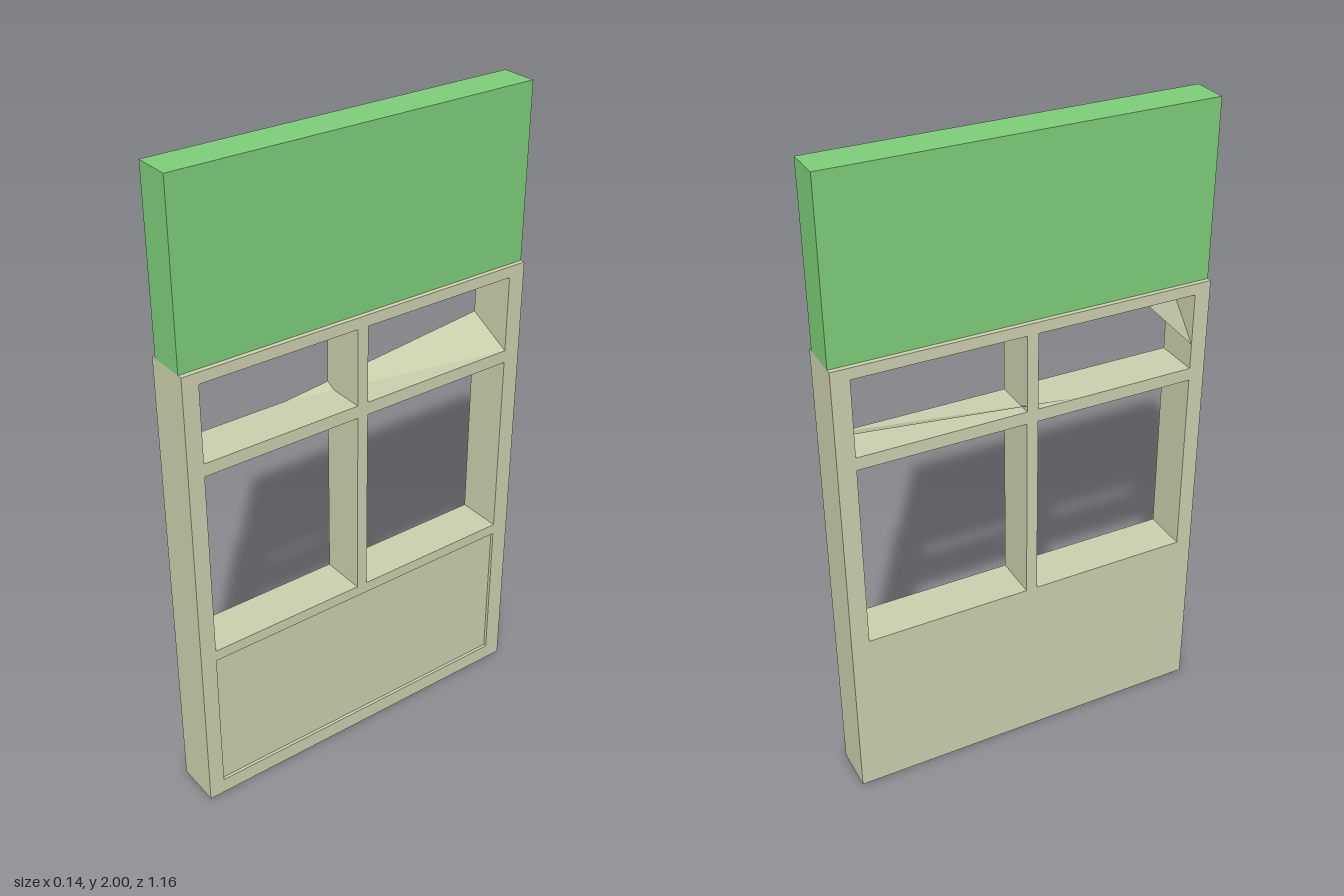
import * as THREE from 'three';

const HALF_X = 0.072, HALF_Z = 0.58, FRAME_TOP = 1.465, RECESS = 0.01;

// Rectangle given as [zFront, zBack, yLow, yHigh]; u runs towards -z
function trace(path, [z0, z1, y0, y1]) {
  path.moveTo(-z0, y0);
  path.lineTo(-z1, y0);
  path.lineTo(-z1, y1);
  path.lineTo(-z0, y1);
  path.closePath();
  return path;
}

// Slab with rectangular openings, reaching from x0 to x1
function slab(holes, x0, x1) {
  const shape = trace(new THREE.Shape(), [HALF_Z, -HALF_Z, 0, FRAME_TOP]);
  shape.holes = holes.map((h) => trace(new THREE.Path(), h));
  const geo = new THREE.ExtrudeGeometry(shape, { depth: x1 - x0, bevelEnabled: false });
  return geo.rotateY(Math.PI / 2).translate(x0, 0, 0);
}

function triangle(...points) {
  const geo = new THREE.BufferGeometry();
  geo.setAttribute('position', new THREE.Float32BufferAttribute(points.flat(), 3));
  geo.computeVertexNormals();
  return geo;
}

export function createModel() {
  const group = new THREE.Group();
  const beige = new THREE.MeshStandardMaterial({ color: 0xc9cdab, side: THREE.DoubleSide });
  beige.name = 'beige';
  const green = new THREE.MeshStandardMaterial({ color: 0x7ccb78 });
  green.name = 'green';

  const add = (name, geo, mat) => {
    const mesh = new THREE.Mesh(geo, mat);
    mesh.name = name;
    group.add(mesh);
    return mesh;
  };

  // Two large panes below two low ones
  const windows = [];
  for (const [z0, z1] of [[0.53, 0.025], [-0.01, -0.525]]) {
    windows.push([z0, z1, 0.555, 1.15], [z0, z1, 1.19, 1.43]);
  }
  const panel = [0.53, -0.525, 0.05, 0.52];

  // Wall frame, with a shallow sunken panel on the +x face
  add('windowFrame', slab(windows, -HALF_X, HALF_X - RECESS), beige);
  add('frameFacing', slab([...windows, panel], HALF_X - RECESS, HALF_X), beige);

  // Sloping pieces inside the upper openings
  add('cornerSlope', triangle(
    [HALF_X, 1.43, 0.53], [-HALF_X, 1.27, 0.53], [-HALF_X, 1.43, 0.375]), beige);
  add('sillSlope', triangle(
    [HALF_X, 1.19, -0.525], [-HALF_X, 1.265, -0.525], [-HALF_X, 1.19, 0.17]), beige);

  // Header block on top
  const header = add('header', new THREE.BoxGeometry(0.114, 2 - FRAME_TOP, HALF_Z * 2), green);
  header.position.y = (2 + FRAME_TOP) / 2;

  return group;
}
